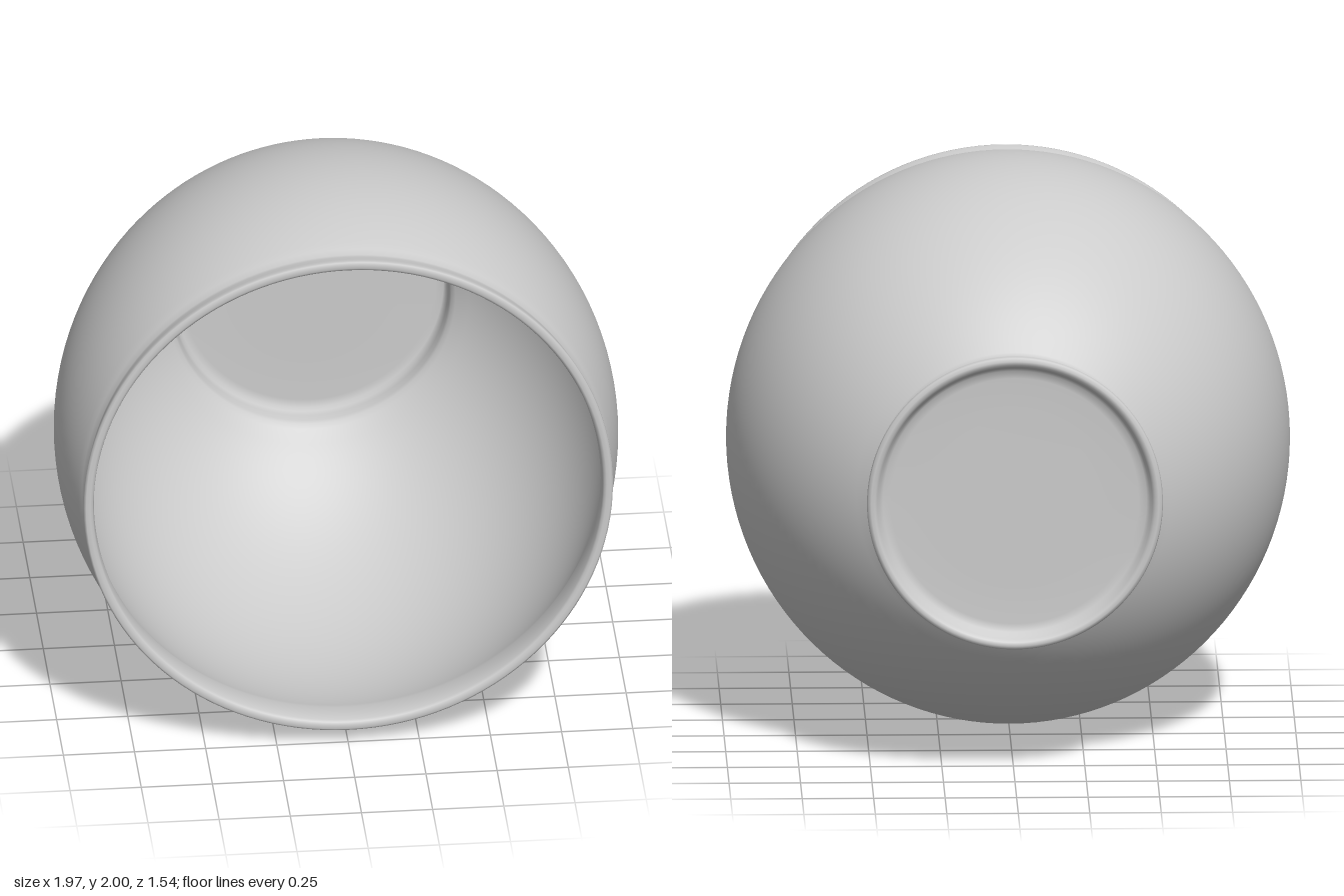
import * as THREE from 'three';

// Point on the bowl's elliptical wall at height z along the axis
const wall = (z, radius, depth) =>
  new THREE.Vector2(radius * Math.sqrt(1 - ((z - 0.3) / depth) ** 2), z);

// Evenly spaced wall points between two heights
function wallPoints(from, to, radius, depth, steps = 40) {
  const points = [];
  for (let i = 0; i <= steps; i++) {
    points.push(wall(from + (to - from) * i / steps, radius, depth));
  }
  return points;
}

const toPoints = (pairs) => pairs.map(([r, z]) => new THREE.Vector2(r, z));

export function createModel() {
  const material = new THREE.MeshStandardMaterial({ color: 0xcccccc });

  const profile = [
    // underside of the floor and the hollow of the foot ring
    ...toPoints([[0, -0.72], [0.3, -0.72], [0.44, -0.722], [0.468, -0.728], [0.48, -0.74], [0.488, -0.757]]),
    // rounded lip and neck of the foot
    ...toPoints([[0.497, -0.768], [0.51, -0.771], [0.521, -0.765], [0.525, -0.752],
      [0.521, -0.738], [0.514, -0.72], [0.508, -0.69], [0.503, -0.66], [0.503, -0.643]]),
    // outer wall
    ...wallPoints(-0.632, 0.67, 1, 1.085),
    // flared rim
    ...toPoints([[0.929, 0.69], [0.932, 0.71], [0.938, 0.735], [0.943, 0.755], [0.942, 0.767],
      [0.935, 0.771], [0.92, 0.771], [0.911, 0.766], [0.907, 0.755], [0.903, 0.72]]),
    // inner wall
    ...wallPoints(0.66, -0.6, 0.968, 1.06),
    // step down to the sunken floor
    ...toPoints([[0.498, -0.615], [0.493, -0.63], [0.491, -0.66], [0.488, -0.685], [0.478, -0.695],
      [0.45, -0.7], [0.3, -0.7], [0, -0.7]]),
  ];

  const bowl = new THREE.Mesh(new THREE.LatheGeometry(profile, 128), material);
  bowl.name = 'bowl';
  bowl.rotation.x = Math.PI / 2; // lies on its side, mouth to the front
  bowl.scale.x = 0.986; // slightly out of round
  bowl.position.y = 1;

  const model = new THREE.Group();
  model.name = 'footedBowl';
  model.add(bowl);
  return model;
}
